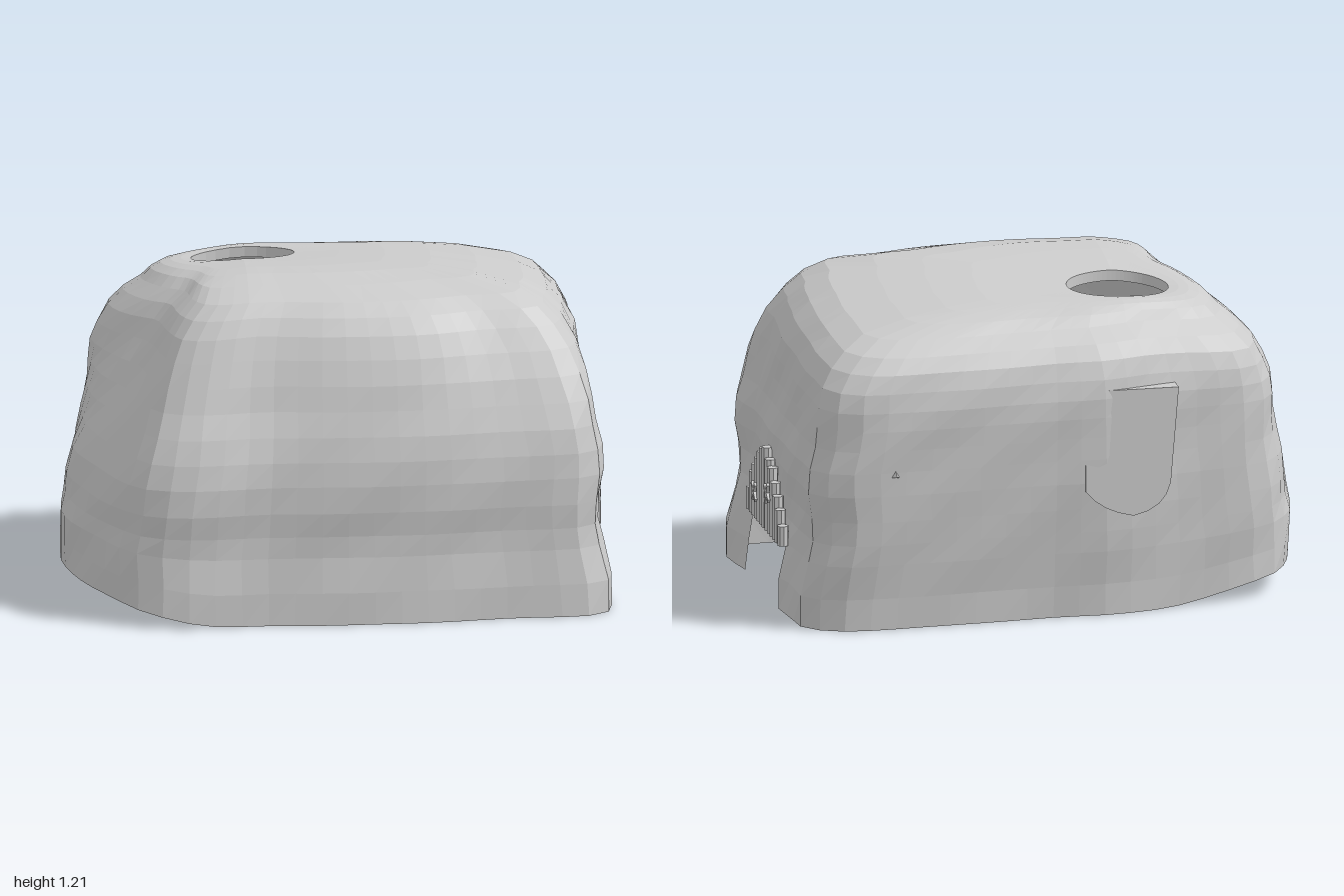
import * as THREE from 'three';

const mat = new THREE.MeshStandardMaterial({ color: 0xcccccc, flatShading: true, side: THREE.DoubleSide });
const smooth = THREE.MathUtils.smoothstep;

function add(parent, name, geometry, x = 0, y = 0, z = 0) {
  const mesh = new THREE.Mesh(geometry, mat);
  mesh.name = name;
  mesh.position.set(x, y, z);
  parent.add(mesh);
  return mesh;
}

const DOOR_COLS = 8, WALL_COLS = 56, DOOR_ROWS = 2;

// Ground plan: a straight door segment, then round by front, left and back
function planOutline() {
  const pts = [[0.97, 0.285], [0.99, 0.38], [1, 0.5], [0.955, 0.605], [0.62, 0.65], [0.3, 0.69], [0, 0.7], [-0.3, 0.69],
    [-0.6, 0.72], [-0.76, 0.68], [-0.86, 0.54], [-0.95, 0.3], [-1, 0.05], [-0.97, -0.2], [-0.93, -0.4],
    [-0.84, -0.54], [-0.5, -0.62], [-0.2, -0.69], [0, -0.69], [0.5, -0.72], [0.83, -0.71], [0.94, -0.63],
    [0.955, -0.48], [0.97, -0.31]];
  const curve = new THREE.CatmullRomCurve3(pts.map(([x, z]) => new THREE.Vector3(x, 0, z)));
  const out = [];
  for (let i = 0; i < DOOR_COLS; i++) out.push([0.97, -0.31 + 0.595 * i / DOOR_COLS]);
  curve.getSpacedPoints(WALL_COLS).slice(0, -1).forEach(p => out.push([p.x, p.z]));
  return out;
}

// Rock shell: rings lofted from the ground to the rim of the roof hole
function shellGeometry() {
  // height, then reach to left wall, right wall, front and back
  const rows = [
    [0, 1, 0.995, 0.72, 0.65], [0.12, 1, 0.99, 0.715, 0.66], [0.25, 1, 0.965, 0.7, 0.68],
    [0.33, 0.985, 0.95, 0.7, 0.69], [0.42, 0.975, 0.95, 0.71, 0.7], [0.52, 0.96, 0.965, 0.71, 0.71],
    [0.61, 0.945, 0.965, 0.7, 0.715], [0.7, 0.94, 0.945, 0.68, 0.72], [0.79, 0.94, 0.935, 0.65, 0.725],
    [0.88, 0.935, 0.93, 0.625, 0.725], [0.97, 0.915, 0.92, 0.59, 0.715], [1.05, 0.88, 0.88, 0.55, 0.695],
    [1.11, 0.82, 0.82, 0.505, 0.66], [1.155, 0.75, 0.73, 0.445, 0.59]];
  const roof = [[1.19, 0.2], [1.208, 0.4], [1.215, 0.6], [1.215, 0.8], [1.21, 1], [1.17, 1]];
  const plan = planOutline(), n = plan.length, pos = [], index = [];

  const ring = ([y, l, r, f, b], t = 0) => plan.forEach(([px, pz], j) => {
    let x = px * (px < 0 ? l : r), z = pz * (pz < 0 ? b : f) / 0.72;
    // hollow in the upper left side, ahead of the rear shoulder, and a soft front right corner
    const ang = Math.atan2(pz, -px);
    const dent = 0.24 * Math.exp(-(((ang - 0.2) / (ang > 0.2 ? 0.7 : 0.4)) ** 2)) * smooth(y, 0.45, 1.05);
    const corner = 0.1 * Math.exp(-(((ang - 2.55) / 0.35) ** 2)) * smooth(y, 0.7, 1.15);
    const bump = 0.008 * Math.sin(j * 0.9 + y * 7) * Math.sin(y * 11 + j * 0.35);
    const k = 1 - dent - corner + bump;
    x *= k;
    z *= k;
    // ease towards the hole
    const a = Math.atan2(z + 0.27, x + 0.31);
    x += (-0.31 + 0.19 * Math.cos(a) - x) * t;
    z += (-0.27 + 0.135 * Math.sin(a) - z) * t;
    // roof falls to the back and left; hem lifts on the left
    const drop = smooth(y, 0.6, 1.2) * (0.1 * Math.max(0, 0.2 - z) + 0.1 * Math.max(0, -0.32 - x));
    const lift = 0.09 * smooth(-x, 0.4, 0.95) * Math.max(0, 1 - y / 0.4);
    pos.push(THREE.MathUtils.clamp(x, -1, 1), y - drop + lift, z);
  });
  rows.forEach(r => ring(r));
  const last = rows[rows.length - 1];
  roof.forEach(([y, t]) => ring([y, ...last.slice(1)], t));

  for (let i = 0; i < rows.length + roof.length - 1; i++) {
    for (let j = 0; j < n; j++) {
      if (i < DOOR_ROWS && j < DOOR_COLS) continue; // doorway
      const a = i * n + j, b = i * n + (j + 1) % n;
      index.push(a, a + n, b, b, a + n, b + n);
    }
  }
  const g = new THREE.BufferGeometry();
  g.setAttribute('position', new THREE.Float32BufferAttribute(pos, 3));
  g.setIndex(index);
  g.computeVertexNormals();
  return g;
}

// Rounded hanging stone: lathe with a blunt tip
function hangingStone(r, h) {
  const profile = [[0, 0], [0.45, 0.03], [0.75, 0.1], [0.92, 0.25], [1, 0.55], [0.9, 0.85], [0.6, 0.99], [0, 1]];
  return new THREE.LatheGeometry(profile.map(([x, y]) => new THREE.Vector2(x * r, y * h)), 10);
}

export function createModel() {
  const model = new THREE.Group();
  model.name = 'caveHouse';
  add(model, 'rockShell', shellGeometry());

  // Stepped row of poles over the doorway
  const poles = new THREE.Group();
  poles.name = 'doorPoles';
  model.add(poles);
  [0.33, 0.4, 0.44, 0.475, 0.51, 0.535, 0.55, 0.515, 0.495, 0.45, 0.41, 0.37, 0.32].forEach((top, i) => {
    const h = top - 0.245;
    add(poles, 'pole', new THREE.CylinderGeometry(0.021, 0.021, h, 8), 0.953, 0.245 + h / 2, 0.238 - i * 0.0447);
  });

  // Crossed lashings on the poles
  [[0.35, 0.09, 0.1], [0.4, -0.13, 0.3]].forEach(([y, z, turn]) => {
    for (const s of [-1, 1]) {
      const bar = add(model, 'lashing', new THREE.BoxGeometry(0.014, 0.085, 0.016), 0.975, y, z);
      bar.rotation.x = s * 0.75 + turn;
    }
  });

  // Stones hanging inside: radius, height, x, base height, z
  const stones = new THREE.Group();
  stones.name = 'hangingStones';
  model.add(stones);
  [[0.1, 0.36, 0.53, 0.14, 0.42], [0.15, 0.5, 0.14, 0.11, 0.46], [0.2, 0.5, -0.58, 0.14, -0.05],
    [0.15, 0.5, -0.32, 0.3, -0.3], [0.045, 0.6, 0.43, 0.07, 0.045], [0.035, 0.6, 0.45, 0.08, 0],
    [0.035, 0.6, 0.4, 0.06, -0.05], [0.035, 0.6, 0.29, 0.1, -0.11], [0.055, 0.65, -0.04, 0.07, 0.36],
    [0.055, 0.6, -0.25, 0.13, 0.21]]
    .forEach(([r, h, x, y, z]) => add(stones, 'stone', hangingStone(r, h), x, y, z));

  // Slab set in the back wall, rounded at its foot
  const s = new THREE.Shape();
  s.moveTo(-0.17, 0.48);
  s.lineTo(0.18, 0.48);
  s.lineTo(0.18, 0.1);
  s.quadraticCurveTo(0.12, 0.02, 0, 0);
  s.quadraticCurveTo(-0.12, 0.02, -0.14, 0.12);
  s.closePath();
  const slab = new THREE.ExtrudeGeometry(s, { depth: 0.08, bevelEnabled: false, curveSegments: 4 });
  add(model, 'backSlab', slab, -0.28, 0.39, -0.69);

  // Small spur on the back wall
  const spur = add(model, 'backSpur', new THREE.ConeGeometry(0.035, 0.06, 3), 0.62, 0.6, -0.715);
  spur.rotation.x = -Math.PI / 2;

  return model;
}
